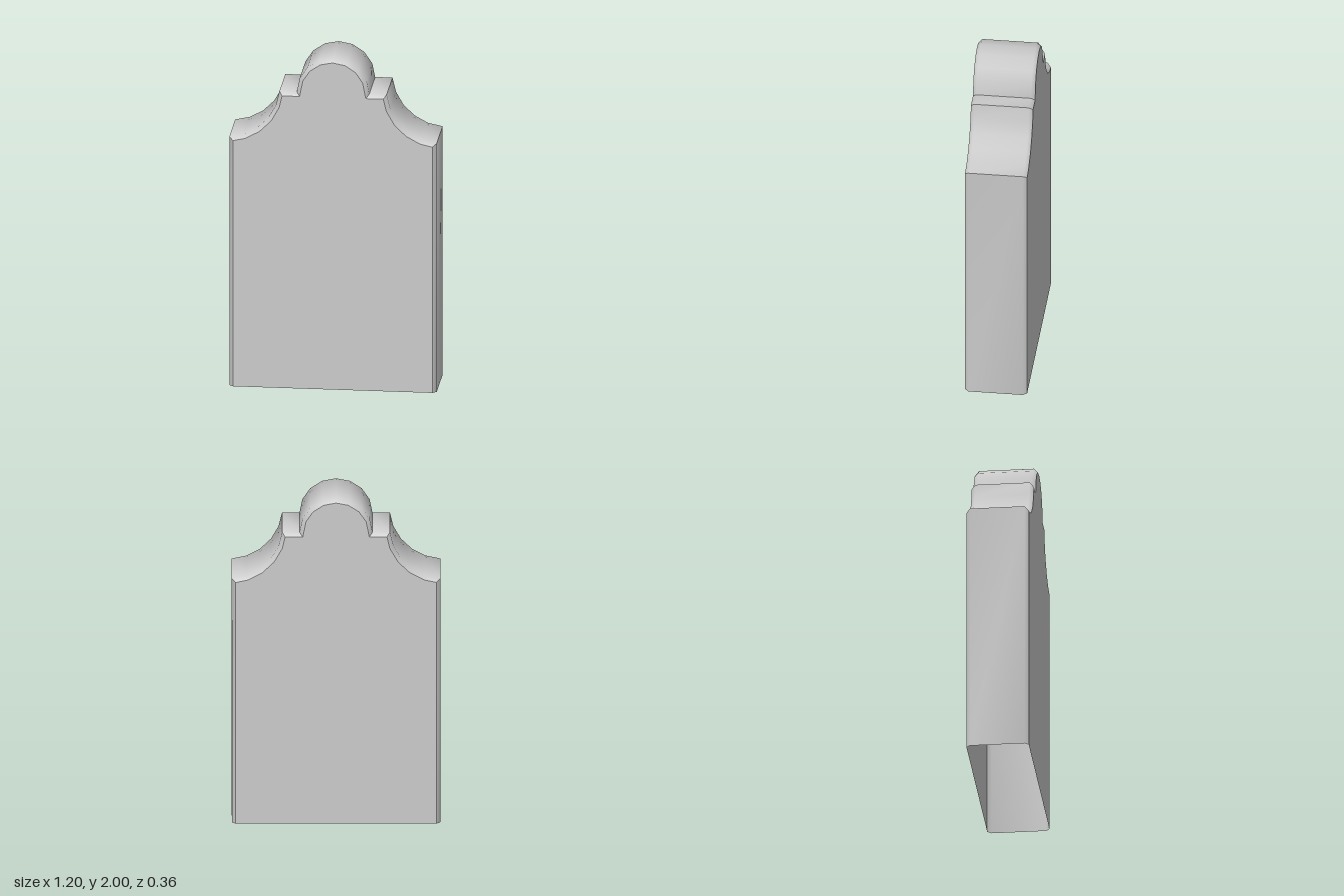
import * as THREE from 'three';
import { toCreasedNormals } from 'three/addons/utils/BufferGeometryUtils.js';

const HALF_DEPTH = 0.18, BEVEL = 0.022;

// Right half of the outline, from the bottom corner up to the crown
function halfOutline() {
  const pts = [new THREE.Vector2(0.6, 0)];
  const arc = (cx, cy, r, from, to, n) => {
    for (let i = 0; i <= n; i++) {
      const a = THREE.MathUtils.degToRad(from + (to - from) * i / n);
      pts.push(new THREE.Vector2(cx + r * Math.cos(a), cy + r * Math.sin(a)));
    }
  };
  arc(0.625, 1.82, 0.316, 265.5, 185.5, 5); // concave shoulder
  arc(0, 1.79, 0.21, 0, 90, 4);             // round crown
  pts[6].y = 1.79;                          // level ledge
  return pts;
}

const mirrored = (half) => [
  ...half,
  ...half.slice(0, -1).reverse().map((p) => new THREE.Vector2(-p.x, p.y)),
];

// Mitred inset of the open outline; the two foot points stay on the ground
function inset(pts, d) {
  const normal = (a, b) => new THREE.Vector2(a.y - b.y, b.x - a.x).normalize();
  return pts.map((p, i) => {
    const n0 = normal(pts[Math.max(i - 1, 0)], pts[Math.max(i, 1)]);
    const last = pts.length - 1;
    const n1 = normal(pts[Math.min(i, last - 1)], pts[Math.min(i + 1, last)]);
    const m = n0.clone().add(n1);
    return p.clone().addScaledVector(m, d / (1 + n0.dot(n1)));
  });
}

// Strip running round the outline: bevel, wall, bevel; open underneath
function rimGeometry(outer, inner) {
  const rows = [
    [inner, HALF_DEPTH], [outer, HALF_DEPTH - BEVEL],
    [outer, BEVEL - HALF_DEPTH], [inner, -HALF_DEPTH],
  ];
  const n = outer.length, position = [], index = [];
  rows.forEach(([pts, z]) => pts.forEach((p) => position.push(p.x, p.y, z)));
  for (let r = 0; r < rows.length - 1; r++) {
    for (let i = 0; i < n - 1; i++) {
      const a = r * n + i, b = a + n;
      index.push(a, b, b + 1, a, b + 1, a + 1);
    }
  }
  const g = new THREE.BufferGeometry();
  g.setAttribute('position', new THREE.Float32BufferAttribute(position, 3));
  g.setIndex(index);
  return toCreasedNormals(g, 0.9);
}

export function createModel() {
  const group = new THREE.Group();
  group.name = 'headstone';
  const material = new THREE.MeshStandardMaterial({ color: 0xcccccc, side: THREE.DoubleSide });
  const add = (name, geometry) => {
    const mesh = new THREE.Mesh(geometry, material);
    mesh.name = name;
    group.add(mesh);
    return mesh;
  };

  const outer = mirrored(halfOutline());
  const inner = inset(outer, BEVEL);

  // Bevelled edge and flat faces of the hollow slab
  add('bevelledRim', rimGeometry(outer, inner));
  const face = new THREE.ShapeGeometry(new THREE.Shape(inner));
  add('frontFace', face).position.z = HALF_DEPTH;
  const back = add('backFace', face);
  back.position.z = -HALF_DEPTH;
  back.rotation.y = Math.PI;

  return group;
}
